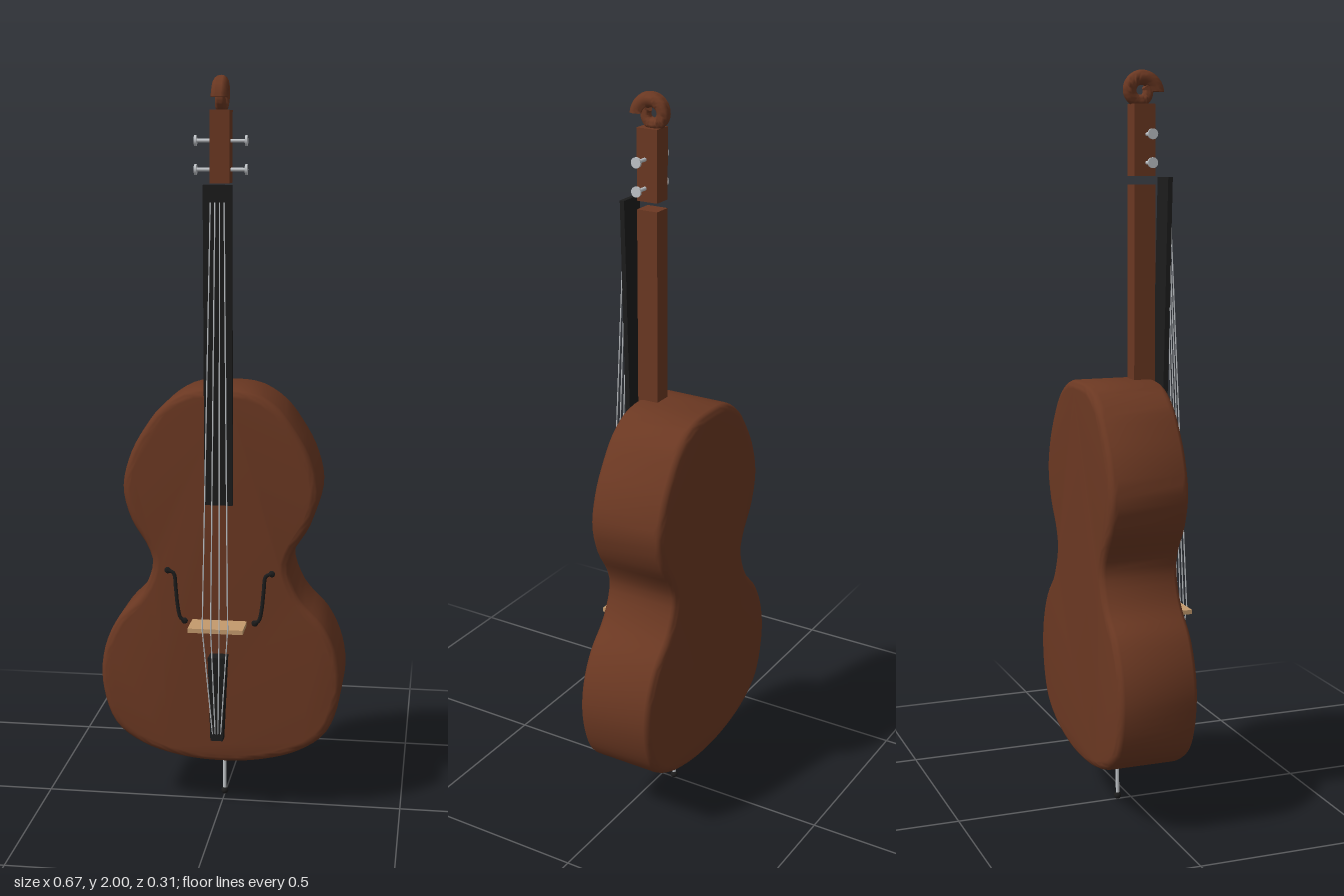
import * as THREE from 'three';
import { mergeVertices, toCreasedNormals } from 'three/addons/utils/BufferGeometryUtils.js';

const V = (x, y, z) => new THREE.Vector3(x, y, z);

// Closed spline outline of the body, rounded over at both plates
function bodyGeometry() {
  const half = [[0.09, 1.178], [0.16, 1.135], [0.21, 1.07], [0.247, 1.0], [0.267, 0.91],
    [0.245, 0.82], [0.2, 0.745], [0.187, 0.7], [0.218, 0.615], [0.285, 0.54], [0.325, 0.45],
    [0.332, 0.35], [0.295, 0.235], [0.222, 0.178], [0.116, 0.145]];
  const right = half.map(([x, y]) => V(x, y, 0));
  const left = half.map(([x, y]) => V(-x, y, 0)).reverse();
  const curve = new THREE.CatmullRomCurve3([V(0, 1.187, 0), ...right, V(0, 0.135, 0), ...left], true);
  const outline = curve.getSpacedPoints(120).slice(0, -1).map(p => new THREE.Vector2(p.x, p.y));
  const b = 0.022;
  let geo = new THREE.ExtrudeGeometry(new THREE.Shape(outline), {
    depth: 0.22 - 2 * b, steps: 1, bevelEnabled: true,
    bevelSize: b, bevelThickness: b, bevelOffset: -b, bevelSegments: 5,
  });
  geo.translate(0, 0, -0.155 + b);
  geo.deleteAttribute('uv');
  geo.deleteAttribute('normal');
  return toCreasedNormals(mergeVertices(geo, 1e-5), 0.7);
}

// Tapering tube wound in a spiral in the yz plane, closed at both ends
function scrollGeometry() {
  const N = 48, M = 16, pos = [], idx = [];
  const ring = (t, scale) => {
    const a = t * 2.25 * Math.PI;
    const R = 0.022 + 0.023 * (1 - t) ** 2, r = (0.022 - 0.009 * t) * scale;
    for (let j = 0; j < M; j++) {
      const b = j / M * 2 * Math.PI, d = R + r * Math.cos(b);
      pos.push(r * Math.sin(b), 1.947 + d * Math.sin(a), 0.026 + d * Math.cos(a));
    }
  };
  ring(0, 0);
  for (let i = 0; i <= N; i++) ring(i / N, 1);
  ring(1, 0);
  for (let i = 0; i < N + 2; i++) {
    for (let j = 0; j < M; j++) {
      const k = (j + 1) % M, a = i * M + j, b = i * M + k, c = a + M, d = b + M;
      idx.push(a, b, c, b, d, c);
    }
  }
  const geo = new THREE.BufferGeometry();
  geo.setAttribute('position', new THREE.Float32BufferAttribute(pos, 3));
  geo.setIndex(idx);
  return toCreasedNormals(geo, 0.9);
}

export function createModel() {
  const group = new THREE.Group();
  const material = (name, color) => {
    const m = new THREE.MeshStandardMaterial({ color });
    m.name = name;
    return m;
  };
  const wood = material('brown wood', 0x6b3822);
  const ebony = material('ebony', 0x1c1c1c);
  const maple = material('pale maple', 0xc49a6c);
  const steel = material('steel', 0xc0c4c8);
  wood.side = THREE.DoubleSide;

  const add = (name, geo, mat, x = 0, y = 0, z = 0) => {
    const mesh = new THREE.Mesh(geo, mat);
    mesh.name = name;
    mesh.position.set(x, y, z);
    group.add(mesh);
    return mesh;
  };
  // Straight round rod between two points
  const rod = (name, a, b, r, mat, sides = 12) => {
    const mesh = add(name, new THREE.CylinderGeometry(r, r, a.distanceTo(b), sides), mat);
    mesh.position.copy(a).add(b).multiplyScalar(0.5);
    mesh.quaternion.setFromUnitVectors(V(0, 1, 0), b.clone().sub(a).normalize());
  };

  add('body', bodyGeometry(), wood);

  // Neck, peg box and scroll
  add('neck', new THREE.BoxGeometry(0.052, 0.535, 0.06), wood, 0, 1.4375, 0.03);
  add('pegBox', new THREE.BoxGeometry(0.052, 0.187, 0.06), wood, 0, 1.821, 0.03);
  add('scroll', scrollGeometry(), wood);

  // Tuning pegs with disc heads on both sides
  for (const y of [1.762, 1.836]) {
    for (const s of [1, -1]) {
      rod('pegShaft', V(s * 0.02, y, 0.036), V(s * 0.066, y, 0.036), 0.005, steel);
      rod('pegHead', V(s * 0.064, y, 0.036), V(s * 0.07, y, 0.036), 0.014, steel, 20);
    }
  }

  // Fingerboard, leaning slightly forward at the top
  const board = add('fingerboard', new THREE.BoxGeometry(0.076, 0.85, 0.013), ebony, 0, 1.3, 0.089);
  board.rotation.x = 0.0215;

  // Bridge shelf
  add('bridge', new THREE.BoxGeometry(0.15, 0.012, 0.088), maple, 0, 0.542, 0.108);

  // Tailpiece: four-sided taper
  const tailGeo = new THREE.CylinderGeometry(0.025 * Math.SQRT2, 0.017 * Math.SQRT2, 0.235, 4, 1)
    .rotateY(Math.PI / 4).toNonIndexed();
  tailGeo.computeVertexNormals();
  const tail = add('tailpiece', tailGeo, ebony, 0, 0.338, 0.101);
  tail.rotation.x = -0.06;

  // Four strings: fan out to the bridge, then gather over the tailpiece
  for (const k of [-1.5, -0.5, 0.5, 1.5]) {
    const top = V(k * 0.012, 1.68, 0.104), mid = V(k * 0.023, 0.548, 0.153);
    rod('string', top, mid, 0.0018, steel, 6);
    rod('lowerString', mid, V(k * 0.007, 0.23, 0.122), 0.0018, steel, 6);
  }

  // Sound holes: slim curves with round ends, mirrored
  for (const s of [1, -1]) {
    const pts = [[0.143, 0.684], [0.127, 0.677], [0.121, 0.635], [0.116, 0.585], [0.108, 0.551], [0.097, 0.543]];
    const path = new THREE.CatmullRomCurve3(pts.map(([x, y]) => V(s * x, y, 0.063)));
    add('soundHole', new THREE.TubeGeometry(path, 28, 0.006, 8), ebony);
    for (const [x, y] of [pts[0], pts[5]]) {
      const dot = add('soundHoleEnd', new THREE.SphereGeometry(0.01, 14, 10), ebony, s * x, y, 0.063);
      dot.scale.z = 0.5;
    }
  }

  // End pin with a rubber ball foot
  rod('endPin', V(0, 0.012, -0.04), V(0, 0.15, -0.04), 0.005, steel);
  add('endPinFoot', new THREE.SphereGeometry(0.01, 16, 12), ebony, 0, 0.01, -0.04);

  return group;
}
